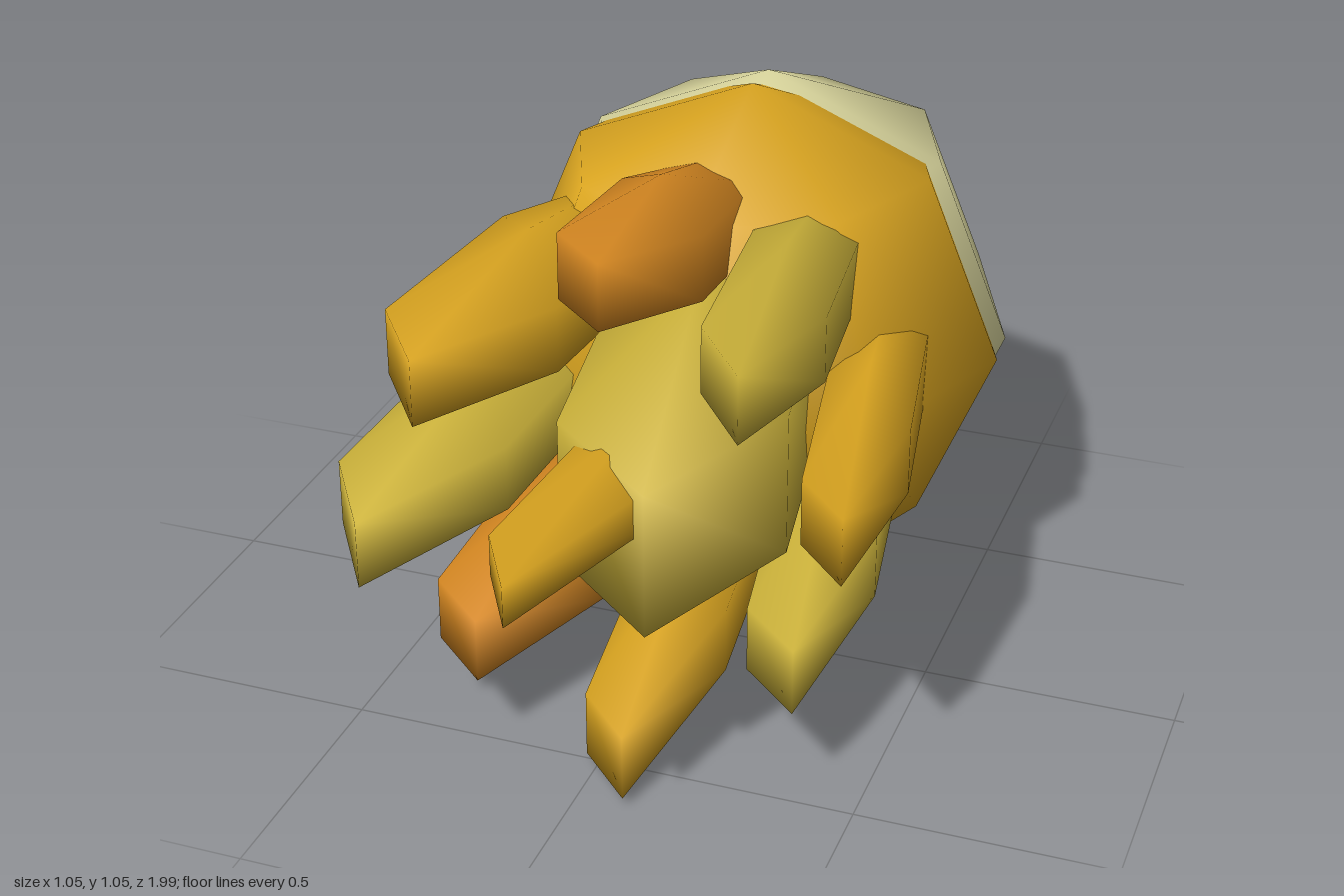
import * as THREE from 'three';

const paint = (name, color) => {
  const m = new THREE.MeshStandardMaterial({ color });
  m.name = name;
  return m;
};

export function createModel() {
  const gold = paint('gold', 0xdaa520);
  const paleGold = paint('paleGold', 0xcfb53b);
  const orange = paint('orange', 0xd98a22);
  const cream = paint('cream', 0xdedaa0);

  const model = new THREE.Group();
  model.name = 'tentacledBody';

  const add = (name, geometry, material) => {
    const mesh = new THREE.Mesh(geometry, material);
    mesh.name = name;
    model.add(mesh);
    return mesh;
  };

  // Two overlapping coarse balls: body in front, cap behind
  add('body', new THREE.SphereGeometry(0.525, 8, 4), gold).position.set(0, 0.525, -0.37);
  add('backCap', new THREE.SphereGeometry(0.517, 8, 4).scale(1, 1, 1.02), cream).position.set(0, 0.525, -0.472);

  // A six-sided ball stretched towards +z and skewed, so its front is a chisel tip.
  // at: centre, w/r/d: half sizes, skew: depth gained towards +x, lean: sideways and upward drift
  const tentacle = (name, material, [x, y, z], [w, r, d], skew, [leanX, leanY]) => {
    const shape = new THREE.Matrix4().set(
      w, 0, leanX, x,
      0, r, leanY, y,
      skew, 0, d, z,
      0, 0, 0, 1);
    add(name, new THREE.SphereGeometry(1, 6, 3).applyMatrix4(shape), material);
  };

  // Large middle snout with a thin feeler at its centre
  tentacle('snout', paleGold, [0.05, 0.54, 0.08], [0.28, 0.29, 0.6], 0.23, [-0.04, -0.01]);
  tentacle('feeler', gold, [0.04, 0.607, 0.4], [0.1, 0.078, 0.69], 0.17, [-0.07, 0.045]);

  // Ring of eight tentacles, clockwise from the top
  const ring = [
    ['topTentacle', orange, [-0.03, 0.897, 0.07], [0.135, 0.132, 0.44], 0.115, [-0.05, 0.07]],
    ['upperLeftTentacle', paleGold, [0.235, 0.825, 0.115], [0.14, 0.13, 0.59], 0.18, [0.025, 0.07]],
    ['leftTentacle', gold, [0.38, 0.565, 0.05], [0.128, 0.135, 0.55], 0.13, [0.045, 0]],
    ['lowerLeftTentacle', paleGold, [0.295, 0.295, 0], [0.145, 0.135, 0.57], 0.13, [0.02, -0.06]],
    ['bottomTentacle', gold, [0.05, 0.155, 0.14], [0.133, 0.135, 0.57], 0.13, [-0.02, -0.09]],
    ['lowerRightTentacle', orange, [-0.23, 0.237, 0.1], [0.147, 0.132, 0.5], 0.13, [-0.09, -0.03]],
    ['rightTentacle', paleGold, [-0.37, 0.488, 0.15], [0.15, 0.133, 0.57], 0.23, [-0.12, -0.02]],
    ['upperRightTentacle', gold, [-0.29, 0.758, 0.1], [0.148, 0.132, 0.55], 0.2, [-0.11, 0.03]],
  ];
  ring.forEach((t) => tentacle(...t));

  return model;
}
